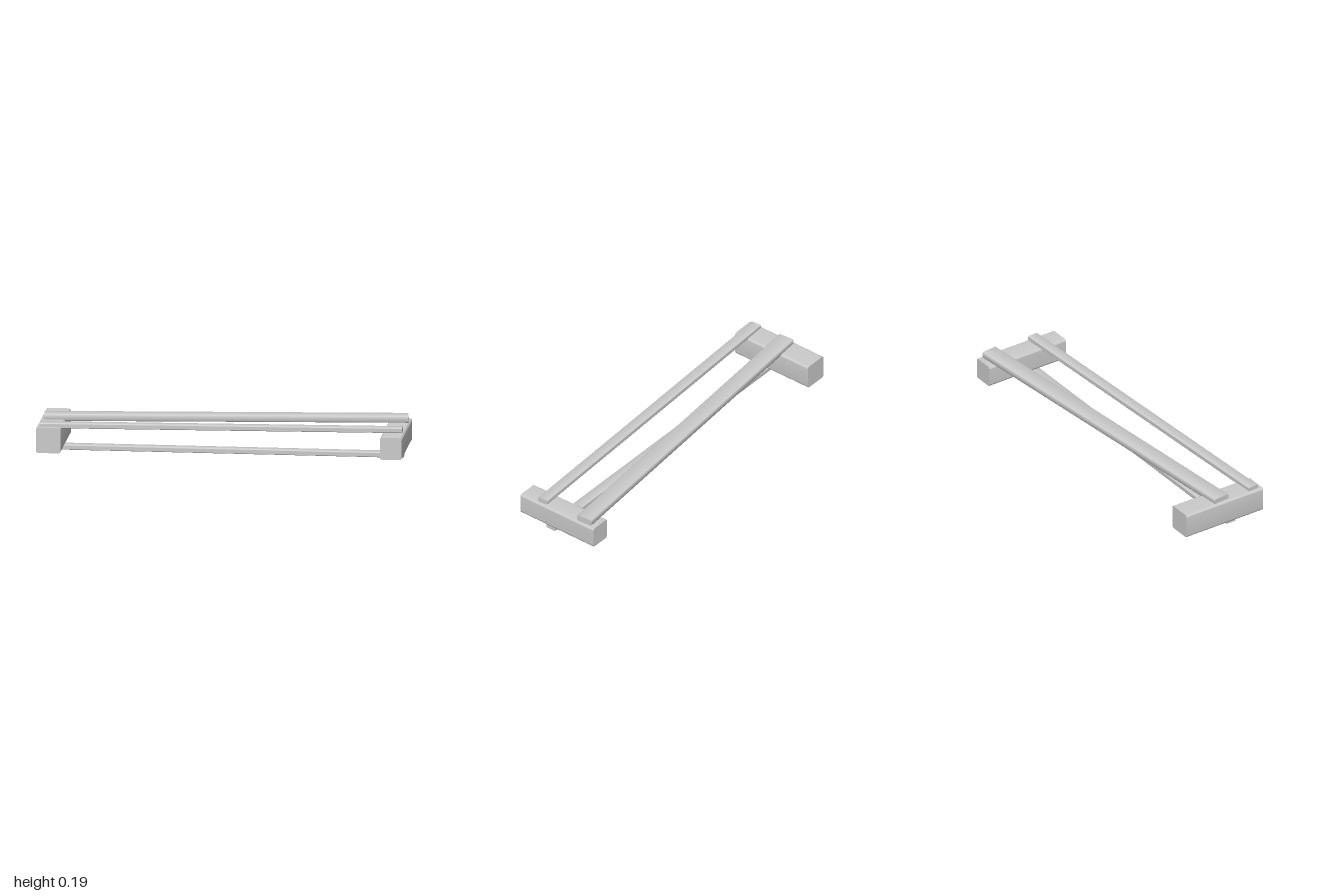
import * as THREE from 'three';
import { toCreasedNormals } from 'three/addons/utils/BufferGeometryUtils.js';

const material = new THREE.MeshStandardMaterial({ color: 0xcccccc });

// Bar along z with a rounded-corner section and flat cut ends, centred on the origin
function roundedBar(width, height, length, radius) {
  const w = width / 2, h = height / 2, r = radius;
  const s = new THREE.Shape();
  s.absarc(w - r, h - r, r, 0, Math.PI / 2);
  s.absarc(-w + r, h - r, r, Math.PI / 2, Math.PI);
  s.absarc(-w + r, -h + r, r, Math.PI, Math.PI * 1.5);
  s.absarc(w - r, -h + r, r, Math.PI * 1.5, Math.PI * 2);
  const geometry = new THREE.ExtrudeGeometry(s, { depth: length, bevelEnabled: false, curveSegments: 6 });
  geometry.translate(0, 0, -length / 2);
  return toCreasedNormals(geometry, 0.7);
}

export function createModel() {
  const model = new THREE.Group();

  // End blocks running front to back
  const blocks = [
    { name: 'rightEndBlock', x0: -1, x1: -0.865, y0: 0.017, y1: 0.157 },
    { name: 'leftEndBlock', x0: 0.88, x1: 1, y0: 0.026, y1: 0.148 },
  ];
  for (const { name, x0, x1, y0, y1 } of blocks) {
    const block = new THREE.Mesh(roundedBar(x1 - x0, y1 - y0, 0.506, 0.012), material);
    block.name = name;
    block.position.set((x0 + x1) / 2, (y0 + y1) / 2, 0);
    model.add(block);
  }

  // Long slats, each given by its centre z at the -x and +x ends
  const slats = [
    { name: 'frontTopSlat', z0: 0.201, z1: 0.108, width: 0.061, y0: 0.15, y1: 0.178 },
    { name: 'backTopSlat', z0: -0.009, z1: -0.18, width: 0.093, y0: 0.148, y1: 0.185 },
    { name: 'bottomSlat', z0: 0.051, z1: 0.051, width: 0.062, y0: 0, y1: 0.028 },
  ];
  const startX = -0.983, endX = 0.988;
  for (const { name, z0, z1, width, y0, y1 } of slats) {
    const length = Math.hypot(endX - startX, z1 - z0);
    const slat = new THREE.Mesh(roundedBar(width, y1 - y0, length, 0.006), material);
    slat.name = name;
    slat.position.set((startX + endX) / 2, (y0 + y1) / 2, (z0 + z1) / 2);
    slat.rotation.y = Math.atan2(endX - startX, z1 - z0);
    model.add(slat);
  }

  return model;
}
